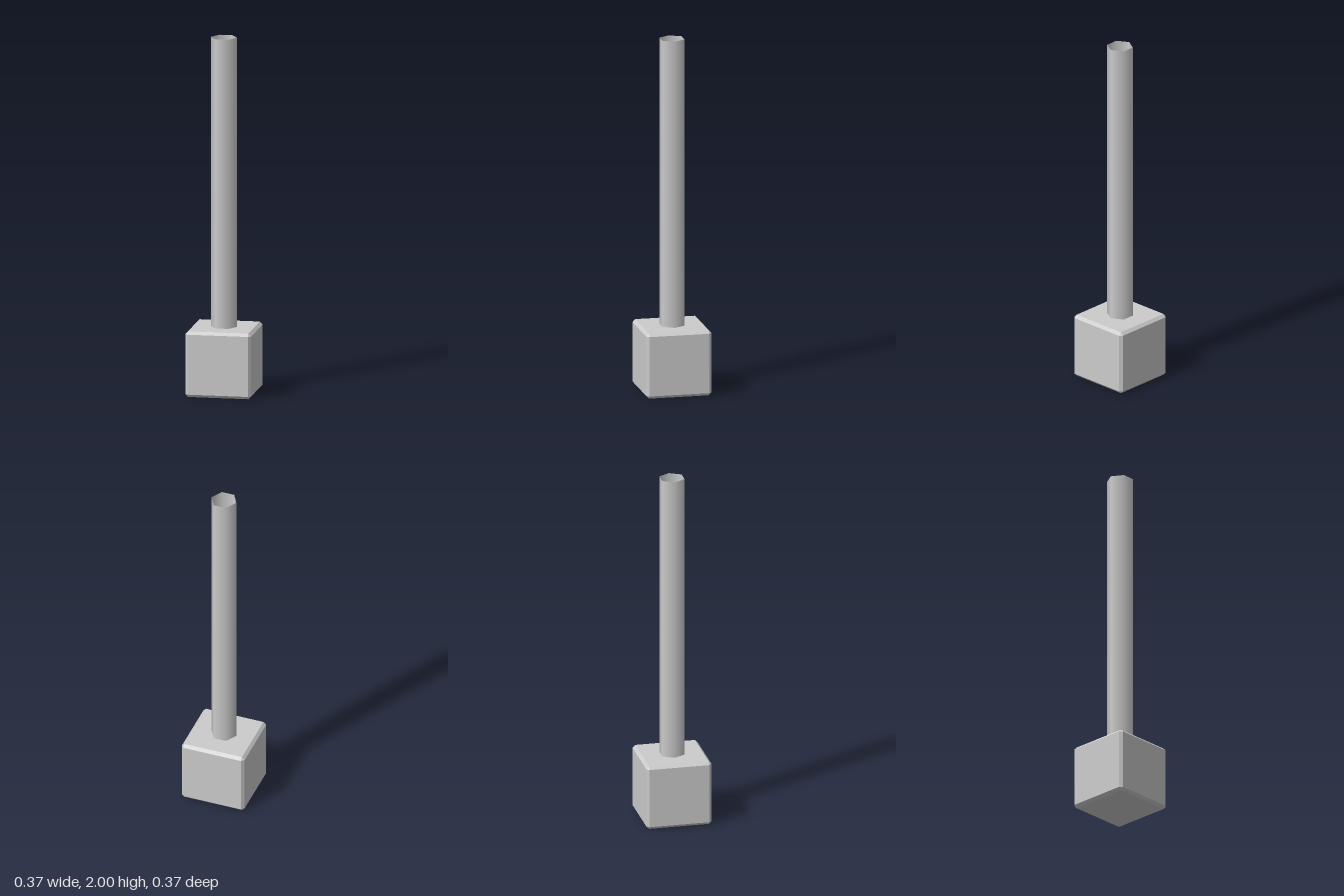
import * as THREE from 'three';
import { ConvexGeometry } from 'three/addons/geometries/ConvexGeometry.js';

const SIZE = 0.37, BEVEL = 0.016, TOP = 2;

// Cube with every edge and corner cut off at 45 degrees
function chamferedCube(size, bevel) {
  const h = size / 2, k = h - bevel;
  const points = [];
  for (const x of [-1, 1]) for (const y of [-1, 1]) for (const z of [-1, 1]) {
    points.push(
      new THREE.Vector3(x * h, y * k, z * k),
      new THREE.Vector3(x * k, y * h, z * k),
      new THREE.Vector3(x * k, y * k, z * h)
    );
  }
  return new ConvexGeometry(points);
}

export function createModel() {
  const model = new THREE.Group();
  model.name = 'postOnBlock';

  const add = (name, geometry, y, options = {}) => {
    const material = new THREE.MeshStandardMaterial({ color: 0xcccccc, ...options });
    const mesh = new THREE.Mesh(geometry, material);
    mesh.name = name;
    mesh.position.y = y;
    model.add(mesh);
    return mesh;
  };

  // Bevelled foot block
  add('baseBlock', chamferedCube(SIZE, BEVEL), SIZE / 2, { flatShading: true });

  // Open six-sided tube with smooth normals, corners on the x axis
  const length = TOP - SIZE;
  const tube = new THREE.CylinderGeometry(0.073, 0.073, length, 6, 1, true);
  tube.rotateY(Math.PI / 2);
  add('hollowPost', tube, SIZE + length / 2, { side: THREE.DoubleSide });

  // Slim six-sided spike standing inside the tube
  const spikeHeight = 0.5;
  const spike = new THREE.ConeGeometry(0.055, spikeHeight, 6, 1, true);
  spike.rotateY(Math.PI / 2);
  add('innerSpike', spike, SIZE + spikeHeight / 2, { flatShading: true });

  return model;
}
